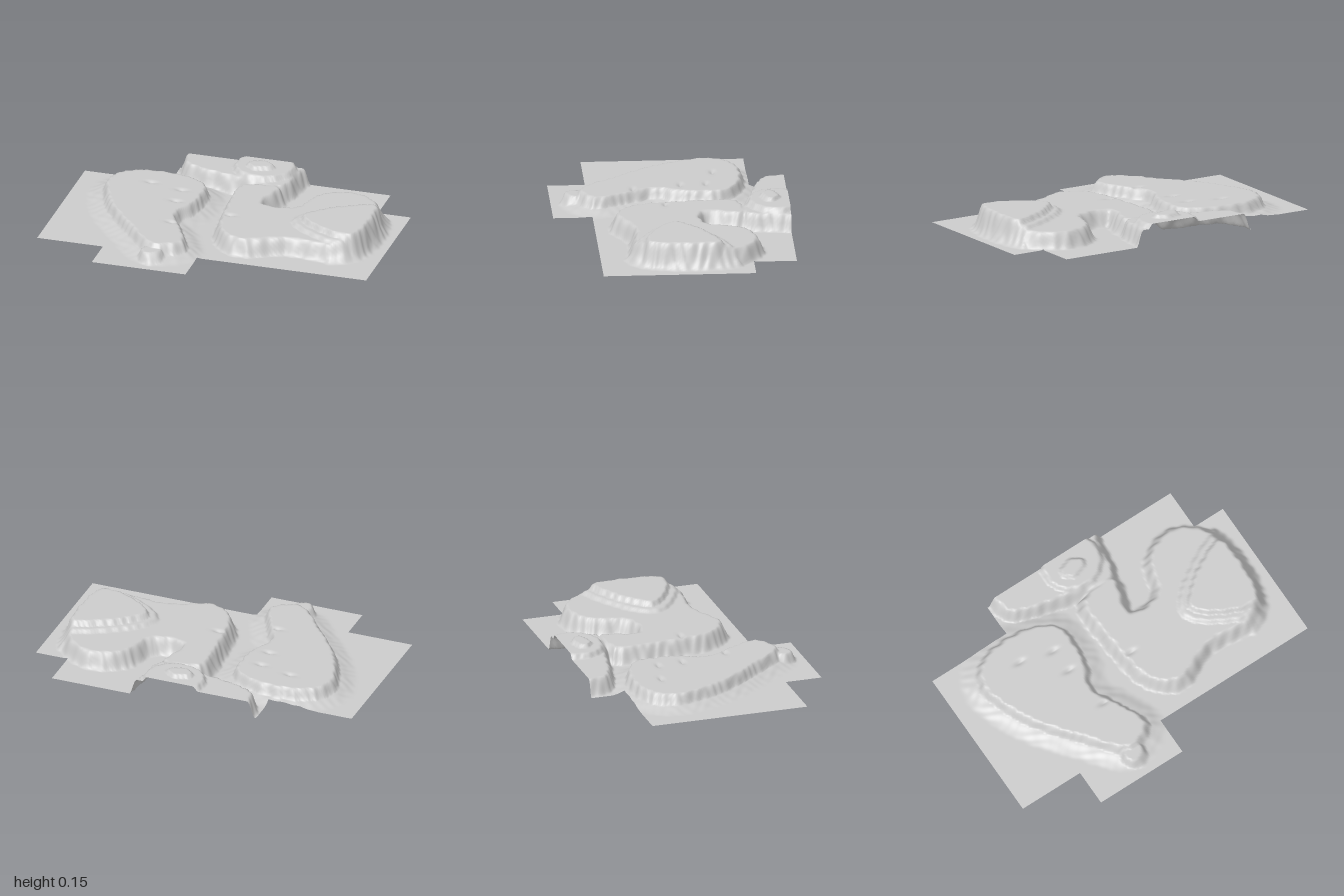
import * as THREE from 'three';

const STEP = 0.01;
const { smoothstep, clamp } = THREE.MathUtils;

// Footprint of the sheet: overlapping rectangles [x0, x1, z0, z1]
const FOOTPRINT = [[-1, 1, -0.44, 0.45], [-1, -0.48, -0.49, 0.46], [-0.48, 0.8, -0.69, 0], [-0.6, -0.03, 0, 0.68]];

// Smooth closed coastline through a few x, z pairs
function coast(...xz) {
  const pts = [];
  for (let i = 0; i < xz.length; i += 2) pts.push(new THREE.Vector3(xz[i], 0, xz[i + 1]));
  return new THREE.CatmullRomCurve3(pts, true).getPoints(pts.length * 5).slice(0, -1)
    .map((p) => new THREE.Vector2(p.x, p.z));
}

// Oval outline
const oval = (x, z, rx, rz) => new THREE.EllipseCurve(x, z, rx, rz).getPoints(32).slice(0, -1);

const leftCoast = coast(-0.8, -0.28, -0.7, -0.42, -0.42, -0.45, -0.21, -0.35, -0.2, -0.08, -0.26, 0.08,
  -0.18, 0.24, -0.11, 0.44, -0.28, 0.53, -0.5, 0.3, -0.7, 0.03);
const rightCoast = coast(-0.02, -0.4, 0.23, -0.42, 0.19, -0.19, 0.36, -0.2, 0.45, -0.41, 0.65, -0.49, 0.84, -0.37,
  0.905, -0.1, 0.85, 0.18, 0.75, 0.26, 0.45, 0.25, 0.19, 0.345, 0.03, 0.23, -0.03, -0.1);
const raisedCoast = coast(0.45, 0, 0.62, -0.18, 0.86, -0.27, 0.9, -0.08, 0.84, 0.2, 0.6, 0.15);
const backCoast = coast(-0.41, -0.8, -0.42, -0.57, -0.1, -0.46, 0.22, -0.41, 0.28, -0.65, 0.29, -0.8);

// Plateaus: outline p at mid slope, moved out by grow; height h; half slope width w
const PLATEAUS = [
  { p: leftCoast, grow: 0, h: 0.09, w: 0.025 },
  { p: leftCoast, grow: 0.05, h: 0.03, w: 0.06 }, // skirt
  { p: oval(-0.28, 0.54, 0.07, 0.07), grow: 0, h: 0.065, w: 0.02 }, // low tip
  { p: rightCoast, grow: 0, h: 0.1, w: 0.03 },
  { p: raisedCoast, grow: 0, h: 0.15, w: 0.035 },
  { p: raisedCoast, grow: 0.06, h: 0.12, w: 0.05, within: rightCoast }, // ramp up to the raised level
  { p: backCoast, grow: 0, h: 0.1, w: 0.025 },
  { p: oval(0.06, -0.62, 0.2, 0.19), grow: 0, h: 0.13, w: 0.035 }, // back knoll
  { p: oval(0.04, -0.58, 0.1, 0.07), grow: 0, h: 0.15, w: 0.03 },
];

// Small dents in the plateau tops: x, z
const DENTS = [[-0.53, -0.28], [-0.33, -0.23], [-0.32, -0.08], [-0.26, 0.2], [0.04, 0.03]];

// Distance to an outline, positive inside
function signedDistance(p, x, z) {
  let best = Infinity, inside = false;
  for (let i = 0, j = p.length - 1; i < p.length; j = i++) {
    const a = p[j], b = p[i], dx = b.x - a.x, dz = b.y - a.y;
    const t = clamp(((x - a.x) * dx + (z - a.y) * dz) / (dx * dx + dz * dz), 0, 1);
    best = Math.min(best, Math.hypot(x - a.x - t * dx, z - a.y - t * dz));
    if ((a.y > z) !== (b.y > z) && x < a.x + dx * (z - a.y) / dz) inside = !inside;
  }
  return inside ? best : -best;
}

// Highest plateau at a point, with a rippled coastline and dents
function heightAt(x, z) {
  const ripple = 0.006 * Math.sin(x * 61 + 2 * Math.sin(z * 23)) * Math.sin(z * 67);
  let y = 0;
  for (const { p, grow, h, w, within } of PLATEAUS) {
    let d = signedDistance(p, x, z) + grow;
    if (within) d = Math.min(d, signedDistance(within, x, z));
    y = Math.max(y, h * smoothstep(d + ripple, -w, w));
  }
  for (const [cx, cz] of DENTS) y -= 0.015 * Math.exp(-2 * (((x - cx) / 0.045) ** 2 + ((z - cz) / 0.018) ** 2));
  return Math.max(0, y);
}

export function createModel() {
  const group = new THREE.Group();
  group.name = 'islandRelief';

  // Height grid, keeping only the cells inside the footprint
  const positions = [], indices = [], ids = new Map();
  const vertex = (i, j) => {
    const key = i * 1000 + j;
    if (!ids.has(key)) {
      const x = -1 + i * STEP, z = -0.69 + j * STEP;
      ids.set(key, positions.length / 3);
      positions.push(x, heightAt(x, z), z);
    }
    return ids.get(key);
  };
  for (let i = 0; i < 200; i++) {
    for (let j = 0; j < 137; j++) {
      const x = -1 + (i + 0.5) * STEP, z = -0.69 + (j + 0.5) * STEP;
      if (!FOOTPRINT.some(([x0, x1, z0, z1]) => x > x0 && x < x1 && z > z0 && z < z1)) continue;
      const a = vertex(i, j), b = vertex(i, j + 1), c = vertex(i + 1, j + 1), d = vertex(i + 1, j);
      indices.push(a, b, c, a, c, d);
    }
  }
  const geometry = new THREE.BufferGeometry();
  geometry.setAttribute('position', new THREE.Float32BufferAttribute(positions, 3));
  geometry.setIndex(indices);
  geometry.computeVertexNormals();

  const terrain = new THREE.Mesh(geometry,
    new THREE.MeshStandardMaterial({ color: 0xcccccc, side: THREE.DoubleSide }));
  terrain.name = 'terrain';
  group.add(terrain);
  return group;
}
